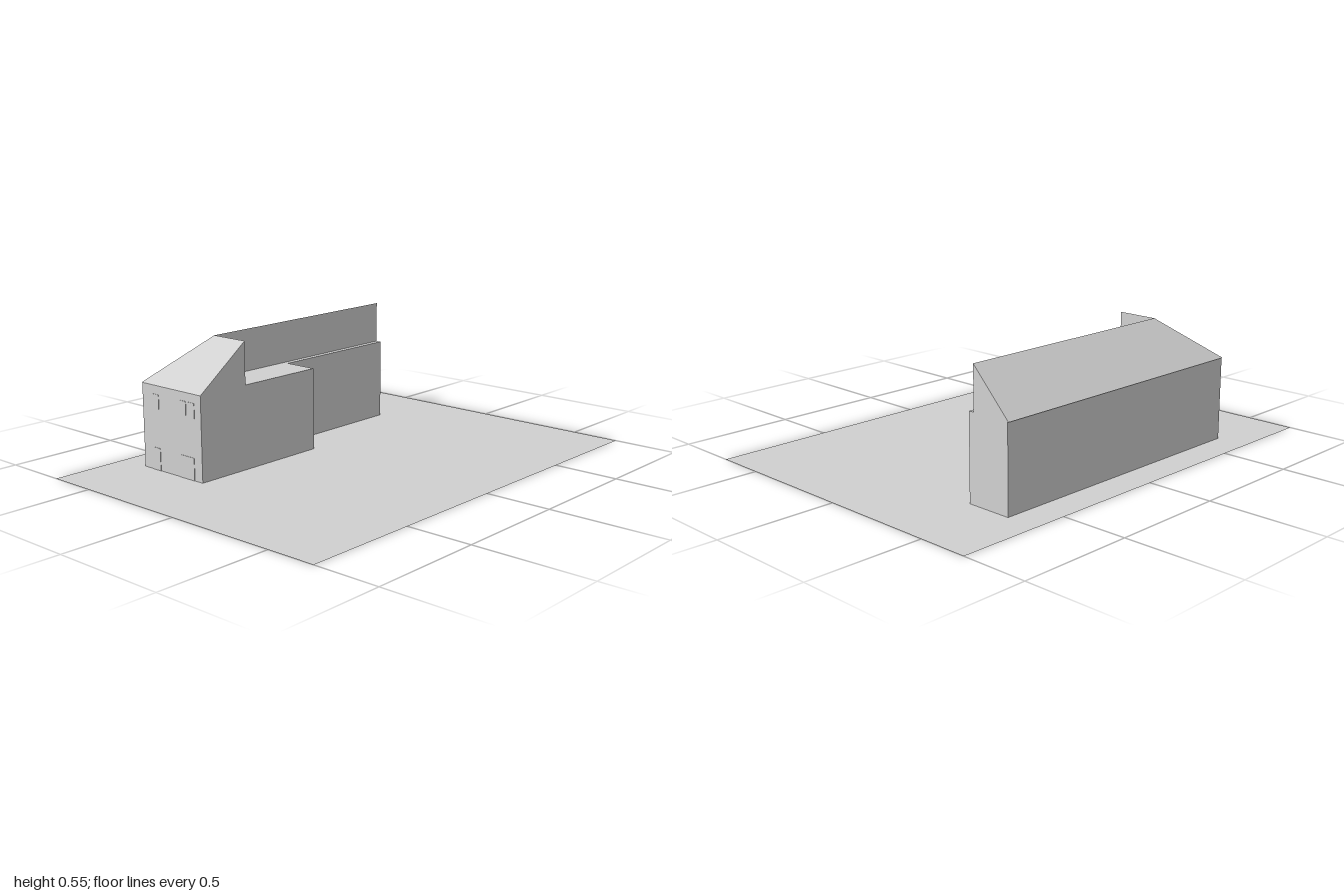
import * as THREE from 'three';
import { ConvexGeometry } from 'three/addons/geometries/ConvexGeometry.js';

export function createModel() {
  const model = new THREE.Group();
  const plaster = new THREE.MeshStandardMaterial({ color: 0xd0d0d0, side: THREE.DoubleSide });
  plaster.name = 'lightGrey';

  const add = (name, geometry) => {
    const mesh = new THREE.Mesh(geometry, plaster);
    mesh.name = name;
    model.add(mesh);
    return mesh;
  };

  const left = -0.575, right = -0.22, rearRight = -0.375, ridgeX = -0.4;
  const front = 0.648, back = -0.648, step = -0.01, hipZ = 0.4;
  const wallTop = 0.362, ridgeY = 0.546;

  // Flat plot of land
  add('ground', new THREE.PlaneGeometry(1.43, 2).rotateX(-Math.PI / 2));

  // L-shaped walls, footprint raised to the eaves
  const footprint = new THREE.Shape([
    [left, front], [right, front], [right, step],
    [rearRight, step], [rearRight, back], [left, back],
  ].map(([x, z]) => new THREE.Vector2(x, -z)));
  add('walls', new THREE.ExtrudeGeometry(footprint, { depth: wallTop, bevelEnabled: false })
    .rotateX(-Math.PI / 2));

  // Roof volumes sharing the hip line from the front eave corner to the ridge
  const hull = (points) => new ConvexGeometry(points.map((p) => new THREE.Vector3(...p)));
  const eaveX = left - 0.004;
  const hip = [
    [eaveX, wallTop, front], [ridgeX, wallTop, hipZ], [ridgeX, ridgeY, hipZ],
  ];
  add('longRoof', hull([
    ...hip,
    [eaveX, wallTop, back], [ridgeX, wallTop, back], [ridgeX, ridgeY, back],
  ]));
  add('frontRoof', hull([
    ...hip,
    [right, wallTop, front], [right, wallTop, hipZ], [right, ridgeY, hipZ],
  ]));

  // Thin doors and windows on the front, with slightly rounded heads
  const panel = (name, x0, x1, y0, y1) => {
    const r = 0.006;
    const s = new THREE.Shape();
    s.moveTo(x0, y0);
    s.lineTo(x1, y0);
    s.lineTo(x1, y1 - r);
    s.quadraticCurveTo(x1, y1, x1 - r, y1);
    s.lineTo(x0 + r, y1);
    s.quadraticCurveTo(x0, y1, x0, y1 - r);
    s.closePath();
    const g = new THREE.ExtrudeGeometry(s, { depth: 0.002, bevelEnabled: false, curveSegments: 4 });
    add(name, g).position.z = front;
  };
  panel('door', -0.52, -0.474, 0, 0.096);
  panel('gate', -0.355, -0.266, 0, 0.096);
  panel('smallWindow', -0.52, -0.474, 0.257, 0.325);
  for (const x of [-0.328, -0.278]) panel('pairedWindow', x - 0.02, x + 0.02, 0.262, 0.325);

  return model;
}
